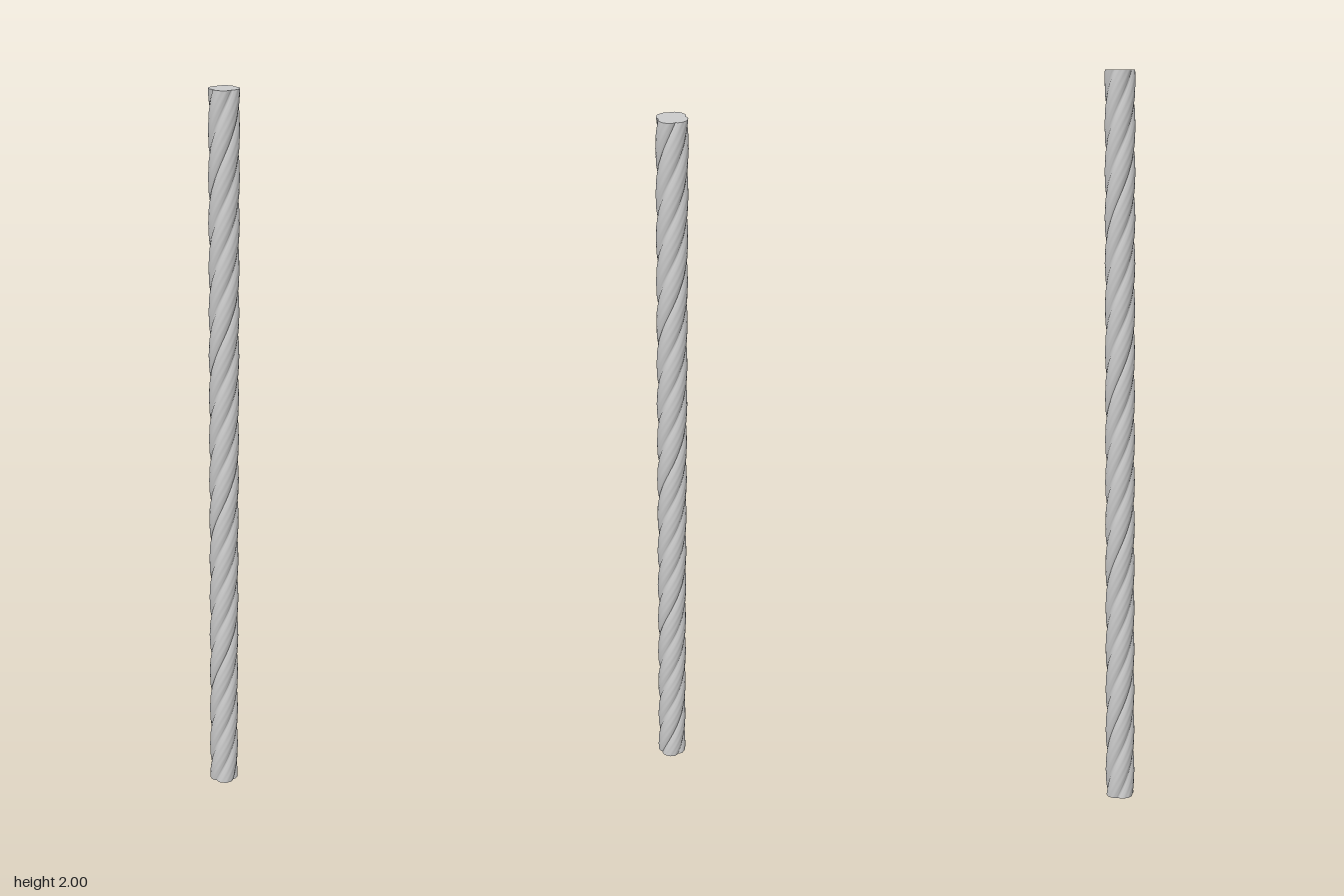
import * as THREE from 'three';

const STRANDS = 4, TURNS = 4.2, HEIGHT = 2;

// Radius of the rope's cross-section: rounded strands with creased grooves and fine fibres
function ropeRadius(angle) {
  const lobe = Math.sqrt(Math.abs(Math.sin(angle * STRANDS / 2)));
  const fibre = 0.0004 * Math.cos(angle * STRANDS * 4);
  return 0.0325 + 0.0075 * lobe + fibre;
}

export function createModel() {
  const group = new THREE.Group();
  group.name = 'rope';

  // Capped cylinder reshaped into twisted strands
  const geo = new THREE.CylinderGeometry(1, 1, HEIGHT, 64, 280);
  geo.translate(0, HEIGHT / 2, 0);
  const pos = geo.attributes.position;
  for (let i = 0; i < pos.count; i++) {
    const x = pos.getX(i), y = pos.getY(i), z = pos.getZ(i);
    if (Math.hypot(x, z) < 0.5) continue; // cap centres stay on the axis
    const angle = Math.atan2(x, z);
    const r = ropeRadius(angle);
    const turned = angle + (y / HEIGHT) * TURNS * Math.PI * 2;
    pos.setXYZ(i, r * Math.sin(turned), y, r * Math.cos(turned));
  }
  geo.computeVertexNormals();

  const strands = new THREE.Mesh(geo, new THREE.MeshStandardMaterial({ color: 0xcccccc }));
  strands.name = 'twistedStrands';
  group.add(strands);
  return group;
}
